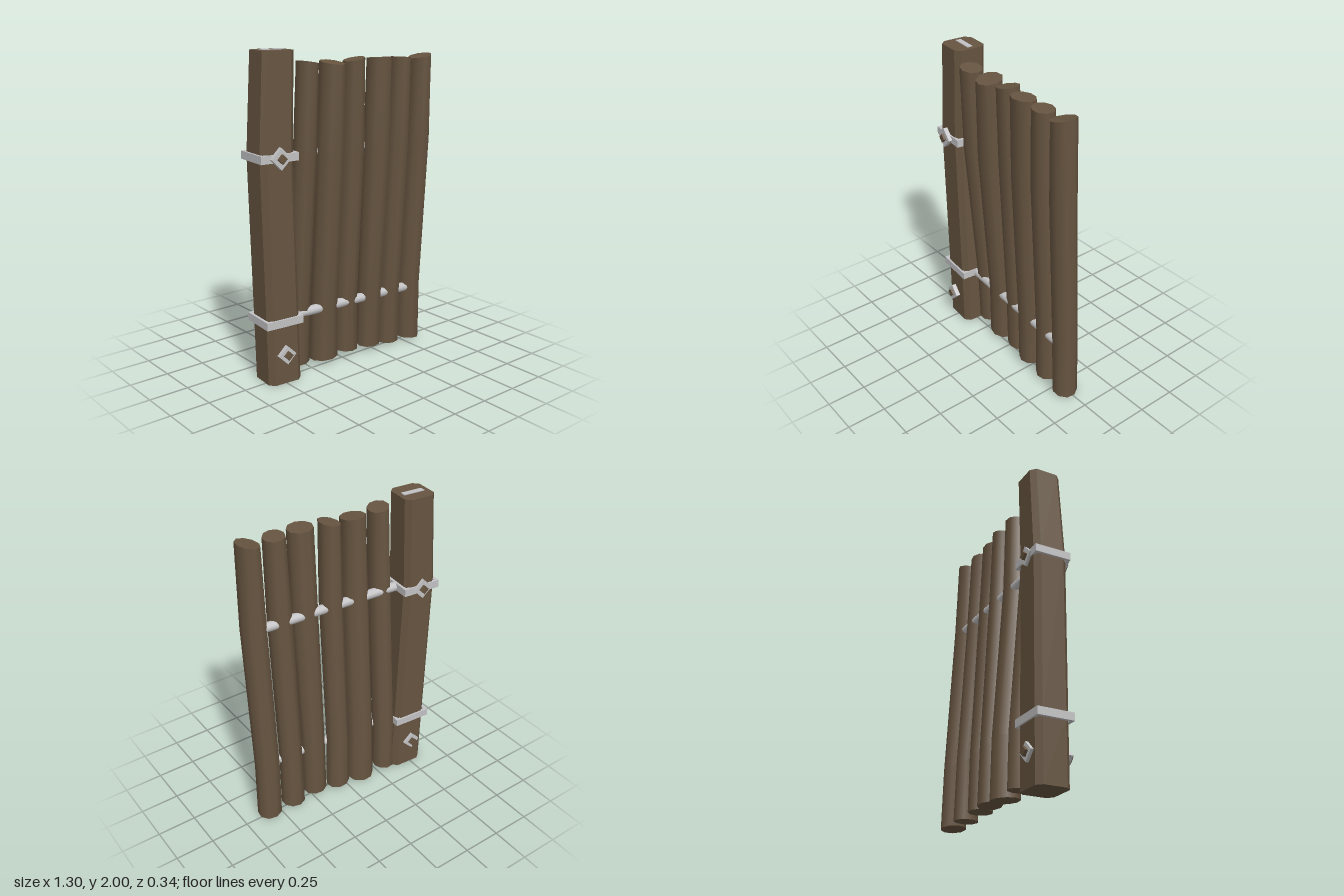
import * as THREE from 'three';

const wood = new THREE.MeshStandardMaterial({ name: 'brownWood', color: 0x665440 });
const metal = new THREE.MeshStandardMaterial({ name: 'paleMetal', color: 0xc2c2c4 });

// Skin a stack of rings (each counter-clockwise seen from above) and close both ends.
function loft(rings, flat) {
  const n = rings[0].length, pos = [], idx = [];
  rings.forEach(r => r.forEach(p => pos.push(...p)));
  for (let k = 0; k < rings.length - 1; k++) {
    for (let i = 0; i < n; i++) {
      const a = k * n + i, b = k * n + (i + 1) % n;
      idx.push(a, b, b + n, a, b + n, a + n);
    }
  }
  // caps use their own vertices so their edges stay sharp
  [rings[0], rings[rings.length - 1]].forEach((ring, end) => {
    const s = pos.length / 3;
    ring.forEach(p => pos.push(...p));
    for (let i = 1; i < n - 1; i++) idx.push(s, s + (end ? i : i + 1), s + (end ? i + 1 : i));
  });
  let g = new THREE.BufferGeometry();
  g.setAttribute('position', new THREE.Float32BufferAttribute(pos, 3));
  g.setIndex(idx);
  if (flat) g = g.toNonIndexed();
  g.computeVertexNormals();
  return g;
}

function add(parent, name, geometry, material, x = 0, y = 0, z = 0) {
  const mesh = new THREE.Mesh(geometry, material);
  mesh.name = name;
  mesh.position.set(x, y, z);
  parent.add(mesh);
  return mesh;
}

const TURN = -0.08, POST_Z = -0.027;

// Chamfered rectangular ring of the post, turned slightly about y
function postRing(y, cx, w, d) {
  const c = 0.032, hw = w / 2, hd = d / 2;
  const pts = [[hw, hd - c], [hw, c - hd], [hw - c, -hd], [c - hw, -hd],
    [-hw, c - hd], [-hw, hd - c], [c - hw, hd], [hw - c, hd]];
  const co = Math.cos(TURN), si = Math.sin(TURN);
  return pts.map(([x, z]) => [cx + x * co + z * si, y, POST_Z - x * si + z * co]);
}

// Log: four rings of [y, centre x, half width, centre z, half depth], top cut at a slant
function logGeometry(rings, slopeX, slopeZ, spin) {
  return loft(rings.map(([y, cx, rx, cz, rz], k) => {
    const ring = [];
    for (let i = 0; i < 9; i++) {
      const a = spin + i / 9 * Math.PI * 2;
      const x = Math.cos(a) * rx, z = -Math.sin(a) * rz;
      const slant = k === 3 ? 1 : k === 0 ? -0.4 : 0;
      ring.push([cx + x, y + slant * (x * slopeX + z * slopeZ), cz + z]);
    }
    return ring;
  }), false);
}

// Square strap around the post
function bandGeometry(w, d, h, t) {
  const rect = (Type, a, b) => new Type([[-a, -b], [a, -b], [a, b], [-a, b]].map(p => new THREE.Vector2(...p)));
  const shape = rect(THREE.Shape, w / 2, d / 2);
  shape.holes.push(rect(THREE.Path, w / 2 - t, d / 2 - t));
  return new THREE.ExtrudeGeometry(shape, { depth: h, bevelEnabled: false })
    .translate(0, 0, -h / 2).rotateX(-Math.PI / 2);
}

export function createModel() {
  const model = new THREE.Group();
  model.name = 'fenceGate';

  // gate post
  add(model, 'post', loft([
    postRing(0, -0.487, 0.225, 0.21), postRing(0.4, -0.495, 0.225, 0.212),
    postRing(1.4, -0.52, 0.22, 0.215), postRing(1.995, -0.493, 0.205, 0.205),
  ], true), wood);
  add(model, 'postTopPlate', new THREE.BoxGeometry(0.14, 0.009, 0.035), metal, -0.49, 1.9955, -0.033)
    .rotation.y = -0.1;

  // straps and through bolts
  for (const [y, cx] of [[1.395, -0.518], [0.395, -0.5]]) {
    add(model, 'strap', bandGeometry(0.25, 0.235, 0.048, 0.02), metal, cx, y, POST_Z).rotation.y = TURN;
  }
  for (const [y, cx, s] of [[1.395, -0.523, 0.092], [0.197, -0.502, 0.083]]) {
    const bolt = new THREE.Group();
    bolt.name = 'bolt';
    bolt.position.set(cx, y, -0.02);
    bolt.rotation.y = TURN;
    add(bolt, 'boltShaft', new THREE.BoxGeometry(0.042, 0.042, 0.3), wood).rotation.z = Math.PI / 4;
    for (const z of [0.12, -0.118]) {
      add(bolt, 'washer', new THREE.BoxGeometry(s, s, 0.028), metal, 0, 0, z).rotation.z = Math.PI / 4;
    }
    model.add(bolt);
  }

  // upright logs: [rings], top slope in x and z
  const logs = [
    [[[0.04, -0.307, 0.072, -0.068, 0.072], [0.4, -0.307, 0.073, -0.055, 0.073],
      [1.4, -0.31, 0.072, 0.03, 0.073], [1.922, -0.303, 0.065, 0.052, 0.072]], -0.18, 0.04],
    [[[0.03, -0.122, 0.094, -0.045, 0.09], [0.4, -0.122, 0.088, -0.035, 0.088],
      [1.4, -0.127, 0.088, 0.04, 0.085], [1.912, -0.122, 0.076, 0.057, 0.082]], -0.05, -0.14],
    [[[0.042, 0.055, 0.08, -0.035, 0.075], [0.4, 0.05, 0.074, -0.025, 0.075],
      [1.4, 0.052, 0.074, 0.035, 0.074], [1.922, 0.046, 0.066, 0.053, 0.072]], 0.19, 0.03],
    [[[0.045, 0.22, 0.08, 0, 0.076], [0.4, 0.22, 0.078, 0.01, 0.078],
      [1.4, 0.222, 0.086, 0.067, 0.078], [1.925, 0.222, 0.083, 0.085, 0.07]], -0.01, 0.06],
    [[[0.025, 0.392, 0.078, 0, 0.076], [0.4, 0.39, 0.074, 0.01, 0.075],
      [1.4, 0.39, 0.075, 0.07, 0.075], [1.919, 0.392, 0.066, 0.088, 0.07]], -0.1, 0.05],
    [[[0.015, 0.567, 0.08, 0.01, 0.08], [0.4, 0.56, 0.08, 0.018, 0.08],
      [1.4, 0.562, 0.08, 0.076, 0.08], [1.92, 0.558, 0.07, 0.09, 0.08]], 0.22, 0.02],
  ];
  logs.forEach(([rings, sx, sz], i) => add(model, 'log', logGeometry(rings, sx, sz, i * 1.3), wood));

  // rods threaded through the logs
  for (const y of [1.39, 0.385]) {
    const rod = add(model, 'rod', new THREE.CylinderGeometry(0.03, 0.03, 1.0, 12), metal, 0.1, y, 0.016);
    rod.rotation.set(0, -0.065, Math.PI / 2, 'YXZ');
  }
  return model;
}
